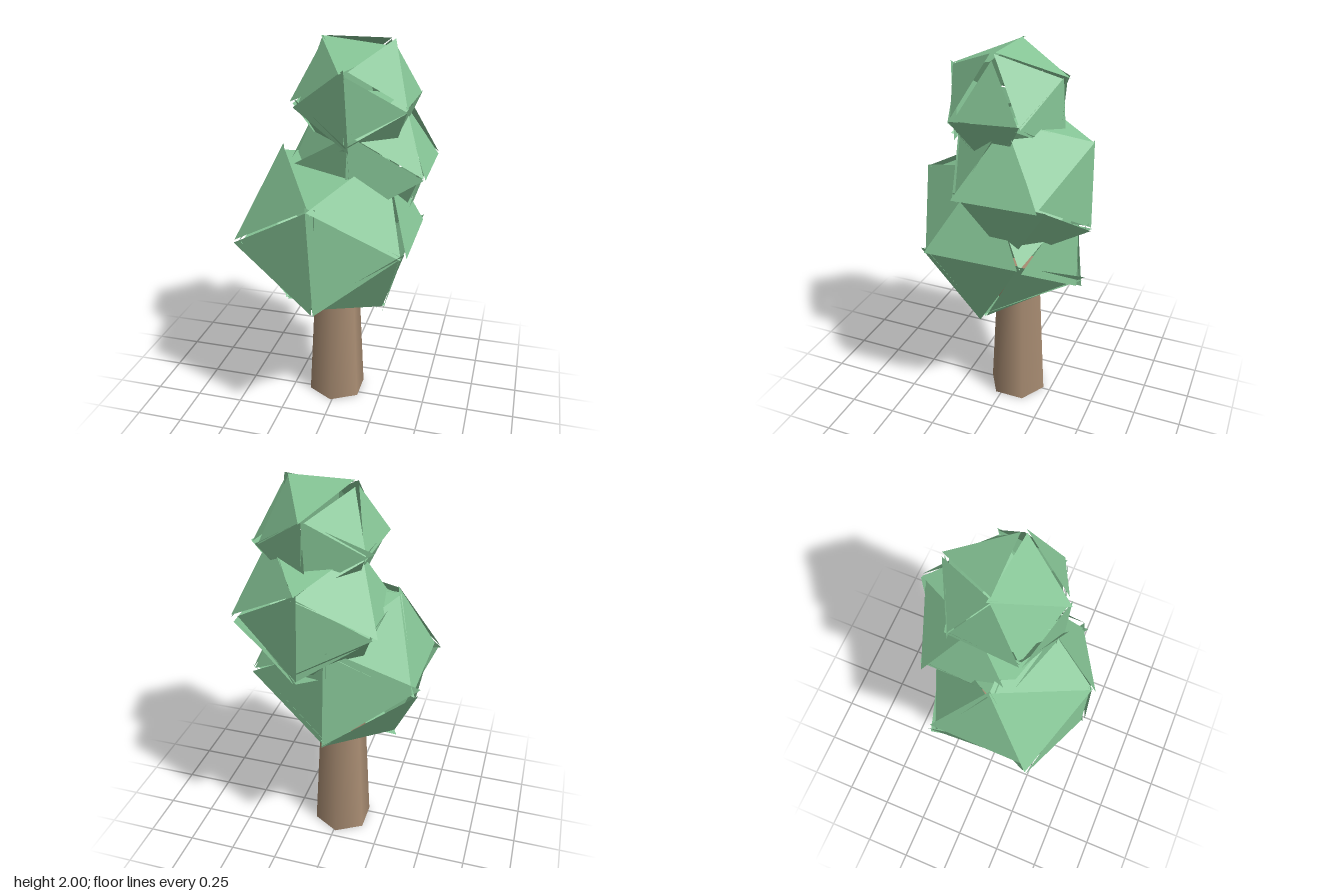
import * as THREE from 'three';

// Seeded generator returning values in -1..1
function seeded(seed) {
  return () => {
    seed = (seed * 16807) % 2147483647;
    return (seed / 2147483647) * 2 - 1;
  };
}

// Icosahedron of loose triangles, each slightly enlarged and nudged so the
// leaf facets overlap raggedly
function leafClump(radius, jitter, rand) {
  const geo = new THREE.IcosahedronGeometry(radius, 0);
  const p = geo.attributes.position;
  const corner = new THREE.Vector3();
  for (let i = 0; i < p.count; i += 3) {
    const centre = new THREE.Vector3();
    for (let k = 0; k < 3; k++) centre.add(corner.fromBufferAttribute(p, i + k));
    centre.divideScalar(3);
    for (let k = 0; k < 3; k++) {
      corner.fromBufferAttribute(p, i + k).sub(centre).multiplyScalar(1.04).add(centre);
      p.setXYZ(i + k, corner.x + rand() * jitter, corner.y + rand() * jitter, corner.z + rand() * jitter);
    }
  }
  geo.computeVertexNormals();
  return geo;
}

export function createModel() {
  const tree = new THREE.Group();
  tree.name = 'tree';
  const bark = new THREE.MeshStandardMaterial({ color: 0xa88c72 });
  const leaf = new THREE.MeshStandardMaterial({ color: 0x86c596, flatShading: true, side: THREE.DoubleSide });

  // Tapered six-sided trunk, its upper end hidden in the leaves
  const trunkHeight = 0.8;
  const trunk = new THREE.Mesh(new THREE.CylinderGeometry(0.118, 0.16, trunkHeight, 6), bark);
  trunk.name = 'trunk';
  trunk.position.set(-0.01, trunkHeight / 2, -0.05);
  tree.add(trunk);

  // Three stacked leaf clumps, shrinking upwards
  const rand = seeded(4217);
  const clumps = [
    ['lowerLeaves', 0.492, [-0.01, 1.025, 0.035]],
    ['middleLeaves', 0.4, [0.11, 1.37, -0.125]],
    ['upperLeaves', 0.325, [0.1, 1.705, -0.035]],
  ];
  for (const [name, radius, position] of clumps) {
    const clump = new THREE.Mesh(leafClump(radius, 0.022, rand), leaf);
    clump.name = name;
    clump.position.set(...position);
    tree.add(clump);
  }
  return tree;
}
